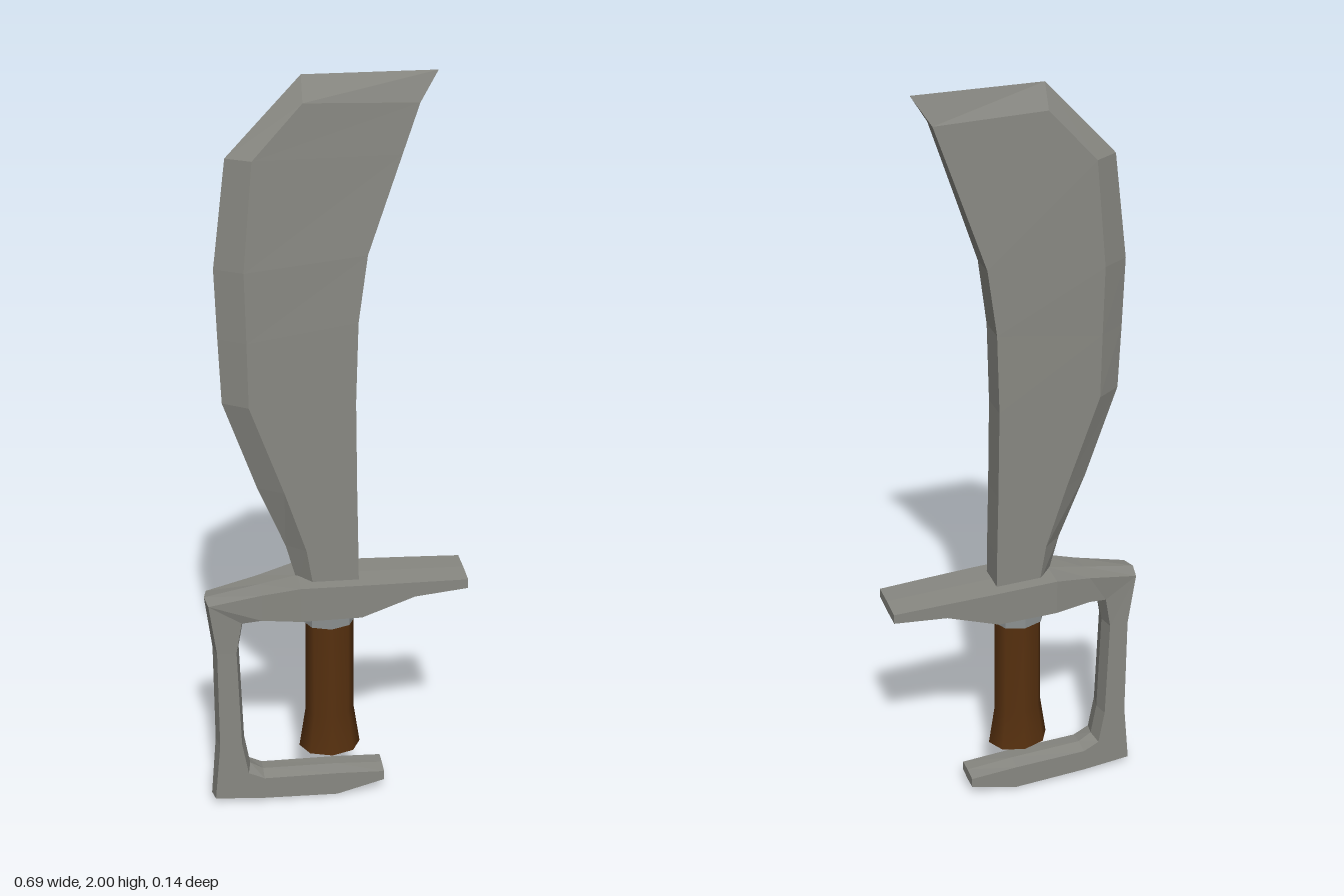
import * as THREE from 'three';

const steel = new THREE.MeshStandardMaterial({ color: 0x888882 });
steel.name = 'steel';
const collarSteel = new THREE.MeshStandardMaterial({ color: 0x8c9090 });
collarSteel.name = 'collar steel';
const leather = new THREE.MeshStandardMaterial({ color: 0x56300f });
leather.name = 'brown leather';

// Skins a row of equal-sized rings (counterclockwise about the path) with hard facets and end caps.
function loft(rings) {
  const out = [];
  const tri = (a, b, c) => {
    const n = b.clone().sub(a).cross(c.clone().sub(a));
    if (n.length() > 1e-9) for (const p of [a, b, c]) out.push(p.x, p.y, p.z);
  };
  const n = rings[0].length;
  for (let r = 0; r < rings.length - 1; r++) {
    const a = rings[r], b = rings[r + 1];
    for (let i = 0; i < n; i++) {
      const j = (i + 1) % n;
      tri(a[i], a[j], b[j]);
      tri(a[i], b[j], b[i]);
    }
  }
  const first = rings[0], last = rings[rings.length - 1];
  for (let i = 1; i < n - 1; i++) {
    tri(first[0], first[i + 1], first[i]);
    tri(last[0], last[i], last[i + 1]);
  }
  const g = new THREE.BufferGeometry();
  g.setAttribute('position', new THREE.Float32BufferAttribute(out, 3));
  g.computeVertexNormals();
  return g;
}

const v = (x, y, z) => new THREE.Vector3(x, y, z);

function part(name, geometry, material) {
  const m = new THREE.Mesh(geometry, material);
  m.name = name;
  return m;
}

// Curved blade: sharp edge, bevel line and flat spine
function bladeGeometry() {
  // edge x, y | bevel x, y, half thickness | spine x, y, half thickness
  const rows = [
    [-0.10, 0.67, -0.062, 0.67, 0.04, 0.056, 0.67, 0.04],
    [-0.13, 0.78, -0.08, 0.78, 0.04, 0.054, 0.78, 0.04],
    [-0.20, 0.95, -0.135, 0.95, 0.04, 0.05, 0.95, 0.04],
    [-0.283, 1.19, -0.22, 1.19, 0.04, 0.046, 1.19, 0.04],
    [-0.289, 1.36, -0.222, 1.36, 0.04, 0.051, 1.4, 0.039],
    [-0.294, 1.54, -0.225, 1.54, 0.04, 0.073, 1.57, 0.036],
    [-0.26, 1.81, -0.20, 1.81, 0.035, 0.154, 1.81, 0.026],
    [-0.08, 2.0, -0.08, 1.94, 0.028, 0.195, 1.93, 0.02],
    [-0.08, 2.0, -0.08, 2.0, 0, 0.24, 2.0, 0],
  ];
  return loft(rows.map(([ex, ey, bx, by, bz, sx, sy, sz]) =>
    [v(ex, ey, 0), v(bx, by, bz), v(sx, sy, sz), v(sx, sy, -sz), v(bx, by, -bz)]));
}

// Cross guard running on into the knuckle bow
function guardGeometry() {
  // outer x, y | inner x, y | half depth | ridge height
  const stations = [
    [0.34, 0.68, 0.34, 0.65, 0.065, 0.002],
    [0.20, 0.684, 0.20, 0.638, 0.069, 0.002],
    [0.08, 0.687, 0.06, 0.588, 0.072, 0.002],
    [-0.10, 0.69, -0.10, 0.588, 0.072, 0.002],
    [-0.20, 0.67, -0.20, 0.587, 0.054, 0.004],
    [-0.345, 0.642, -0.243, 0.574, 0.042, 0.01],
    [-0.327, 0.49, -0.258, 0.49, 0.04, 0.009],
    [-0.327, 0.20, -0.25, 0.20, 0.04, 0.009],
    [-0.342, 0.022, -0.235, 0.11, 0.04, 0.01],
    [-0.20, 0.011, -0.20, 0.088, 0.04, 0.006],
    [0.0, 0.005, 0.0, 0.084, 0.04, 0.005],
    [0.13, 0.043, 0.13, 0.076, 0.04, 0.003],
  ];
  return loft(stations.map(([ox, oy, ix, iy, d, ridge]) => {
    const o = v(ox, oy, 0), i = v(ix, iy, 0);
    const step = o.clone().sub(i).setLength(ridge);
    const oLow = o.clone().sub(step), iLow = i.clone().add(step);
    return [
      v(oLow.x, oLow.y, d), o, v(oLow.x, oLow.y, -d),
      v(iLow.x, iLow.y, -d), i, v(iLow.x, iLow.y, d),
    ];
  }));
}

// Eight-sided turned shape, flattened front to back
function turned(profile, depth) {
  const g = new THREE.LatheGeometry(profile.map(([r, y]) => new THREE.Vector2(r, y)), 8);
  g.scale(1, 1, depth);
  g.translate(-0.016, 0, 0);
  return g;
}

export function createModel() {
  const sword = new THREE.Group();
  sword.name = 'sword';
  sword.add(part('blade', bladeGeometry(), steel));
  sword.add(part('guardAndKnuckleBow', guardGeometry(), steel));

  const collar = new THREE.CylinderGeometry(0.07, 0.07, 0.045, 8).toNonIndexed();
  collar.computeVertexNormals();
  collar.scale(1, 1, 0.8);
  collar.translate(-0.018, 0.5725, 0);
  sword.add(part('collar', collar, collarSteel));

  // Grip flaring towards the pommel, with a shallow pointed end
  sword.add(part('grip', turned([[0.083, 0.155], [0.066, 0.27], [0.064, 0.56]], 0.75), leather));
  sword.add(part('pommelCap', turned([[0, 0.135], [0.083, 0.155]], 0.75), leather));
  return sword;
}
